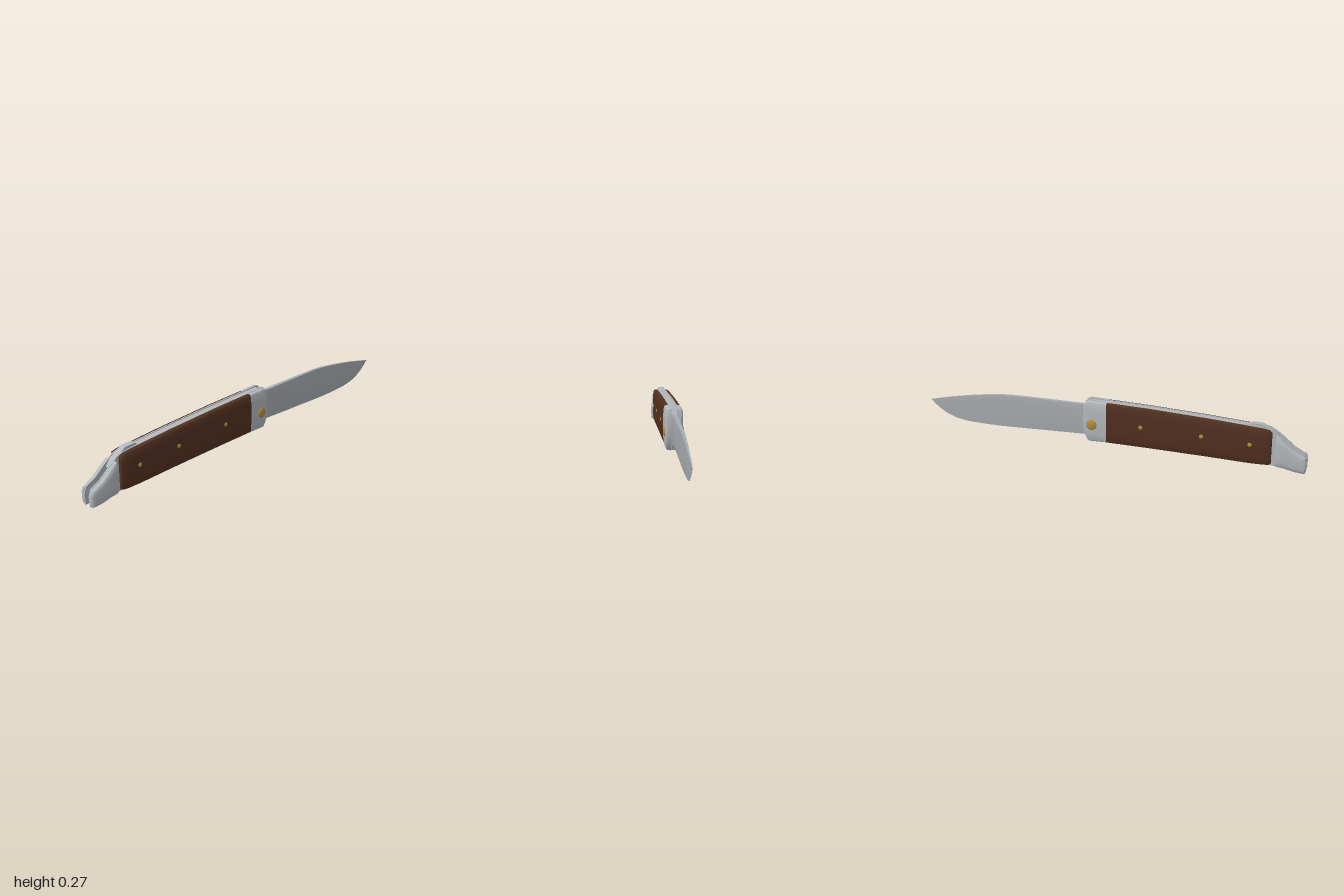
import * as THREE from 'three';
import { toCreasedNormals } from 'three/addons/utils/BufferGeometryUtils.js';

// Skin along x: sections are [x, yBottom, yTop, zOuter], the profile is [u in y, v in z]
function loft(sections, profile, z0 = 0, mirror = false) {
  const rim = mirror ? [...profile].reverse() : profile;
  const rings = sections.map(([x, yb, yt, z1]) => rim.map(([u, v]) =>
    [x, yb + u * (yt - yb), (z0 + v * (z1 - z0)) * (mirror ? -1 : 1)]));
  const pos = [];
  const n = rim.length;
  const tri = (a, b, c) => pos.push(...a, ...b, ...c);
  for (let i = 0; i < rings.length - 1; i++) {
    for (let j = 0; j < n; j++) {
      const k = (j + 1) % n, p = rings[i], q = rings[i + 1];
      tri(p[j], p[k], q[k]);
      tri(p[j], q[k], q[j]);
    }
  }
  const first = rings[0], last = rings[rings.length - 1];
  for (let j = 1; j < n - 1; j++) {
    tri(first[0], first[j + 1], first[j]);
    tri(last[0], last[j], last[j + 1]);
  }
  const g = new THREE.BufferGeometry();
  g.setAttribute('position', new THREE.Float32BufferAttribute(pos, 3));
  return toCreasedNormals(g, 0.6);
}

// Flat plate with the given outline, between two depths
function plate(points, zMin, zMax) {
  const shape = new THREE.Shape(points.map(([x, y]) => new THREE.Vector2(x, y)));
  const g = new THREE.ExtrudeGeometry(shape, { depth: zMax - zMin, bevelEnabled: false });
  g.translate(0, 0, zMin);
  return toCreasedNormals(g, 0.5);
}

// Domed pin running through the handle along z
function pinGeometry(r, half) {
  const e = half - 0.006;
  const pts = [[0, -half], [r * 0.5, -half + 0.001], [r * 0.85, -half + 0.003], [r, -e],
    [r, e], [r * 0.85, half - 0.003], [r * 0.5, half - 0.001], [0, half]];
  const g = new THREE.LatheGeometry(pts.map(([x, y]) => new THREE.Vector2(x, y)), 20);
  return g.rotateX(Math.PI / 2);
}

export function createModel() {
  const model = new THREE.Group();
  const mat = (name, color) => {
    const m = new THREE.MeshStandardMaterial({ color });
    m.name = name;
    return m;
  };
  const bladeSteel = mat('blade steel', 0xa8adb0);
  const bolsterSteel = mat('bolster steel', 0xb2b7bb);
  const wood = mat('dark wood', 0x51301f);
  const brass = mat('brass', 0xb48d3c);
  const add = (name, geometry, material) => {
    const mesh = new THREE.Mesh(geometry, material);
    mesh.name = name;
    model.add(mesh);
    return mesh;
  };

  // Blade: wedge section, thick spine, tapering to the point
  const wedge = [[0, -0.06], [0.85, -1], [1, -0.8], [1, 0.8], [0.85, 1], [0, 0.06]];
  add('blade', loft([
    [0.13, 0.073, 0.237, 0.0135], [0.35, 0.069, 0.241, 0.012], [0.54, 0.066, 0.243, 0.010],
    [0.6, 0.065, 0.240, 0.009], [0.7, 0.067, 0.229, 0.008], [0.79, 0.072, 0.216, 0.0065],
    [0.86, 0.084, 0.204, 0.005], [0.91, 0.104, 0.194, 0.004], [0.95, 0.128, 0.186, 0.003],
    [0.98, 0.154, 0.179, 0.002], [0.998, 0.173, 0.175, 0.001],
  ], wedge), bladeSteel);

  // Squared tang with the kick below it
  add('tang', plate([[0.0, 0.08], [0.06, 0.055], [0.12, 0.053], [0.125, 0.073],
    [0.145, 0.08], [0.145, 0.236], [0.0, 0.236]], -0.0135, 0.0135), bladeSteel);

  // Back spring closing the top of the handle
  add('backSpring', plate([
    [-0.87, 0.155], [-0.845, 0.19], [-0.79, 0.222], [-0.775, 0.230], [-0.72, 0.232],
    [-0.705, 0.220], [-0.5, 0.235], [-0.2, 0.252], [0.1, 0.263], [0.12, 0.235],
    [0, 0.225], [-0.3, 0.205], [-0.6, 0.165], [-0.75, 0.10], [-0.85, 0.10],
  ], -0.015, 0.015), bolsterSteel);

  // Shapes shared by both sides
  const liner = [
    [-0.998, 0.06], [-0.994, 0.004], [-0.95, 0.007], [-0.88, 0.021], [-0.82, 0.026],
    [-0.72, 0.026], [-0.5, 0.036], [-0.2, 0.045], [0.01, 0.050], [0.11, 0.050],
    [0.128, 0.085], [0.137, 0.16], [0.136, 0.205], [0.125, 0.262], [0.11, 0.270],
    [0.01, 0.264], [-0.2, 0.256], [-0.5, 0.238], [-0.72, 0.221], [-0.8, 0.214],
    [-0.83, 0.204], [-0.88, 0.165], [-0.935, 0.118], [-0.985, 0.093],
  ];
  const rounded = [[0, 0], [1, 0], [1, 0.45], [0.98, 0.72], [0.92, 0.9], [0.78, 1],
    [0.22, 1], [0.08, 0.9], [0.02, 0.72], [0, 0.45]];
  const z = 0.046;
  const scale = [
    [-0.825, 0.036, 0.195, 0.040], [-0.815, 0.031, 0.207, 0.044], [-0.79, 0.029, 0.213, z],
    [-0.72, 0.029, 0.219, z], [-0.5, 0.038, 0.236, z], [-0.2, 0.047, 0.254, z],
    [0.01, 0.052, 0.262, z],
  ];
  const frontBolster = [
    [0.01, 0.052, 0.263, 0.0465], [0.09, 0.052, 0.267, 0.0465], [0.108, 0.053, 0.268, 0.046],
    [0.121, 0.074, 0.262, 0.044], [0.130, 0.105, 0.24, 0.041], [0.135, 0.14, 0.21, 0.035],
  ];
  const rearBolster = [
    [-0.997, 0.02, 0.075, 0.036], [-0.99, 0.005, 0.089, 0.042], [-0.975, 0.006, 0.095, 0.045],
    [-0.935, 0.011, 0.116, 0.046], [-0.89, 0.021, 0.154, 0.046], [-0.855, 0.025, 0.183, 0.046],
    [-0.847, 0.027, 0.186, 0.043],
  ];
  for (const [side, mirror] of [['left', false], ['right', true]]) {
    add(side + 'Liner', mirror ? plate(liner, -0.022, -0.015) : plate(liner, 0.015, 0.022), bolsterSteel);
    add(side + 'WoodScale', loft(scale, rounded, 0.0215, mirror), wood);
    add(side + 'FrontBolster', loft(frontBolster, rounded, 0.0215, mirror), bolsterSteel);
    add(side + 'RearBolster', loft(rearBolster, rounded, 0.0215, mirror), bolsterSteel);
  }

  // Brass pins and the larger blade pivot
  for (const [x, y] of [[-0.72, 0.13], [-0.48, 0.145], [-0.17, 0.157]]) {
    add('handlePin', pinGeometry(0.012, 0.050), brass).position.set(x, y, 0);
  }
  add('pivotPin', pinGeometry(0.027, 0.053), brass).position.set(0.087, 0.144, 0);

  return model;
}
